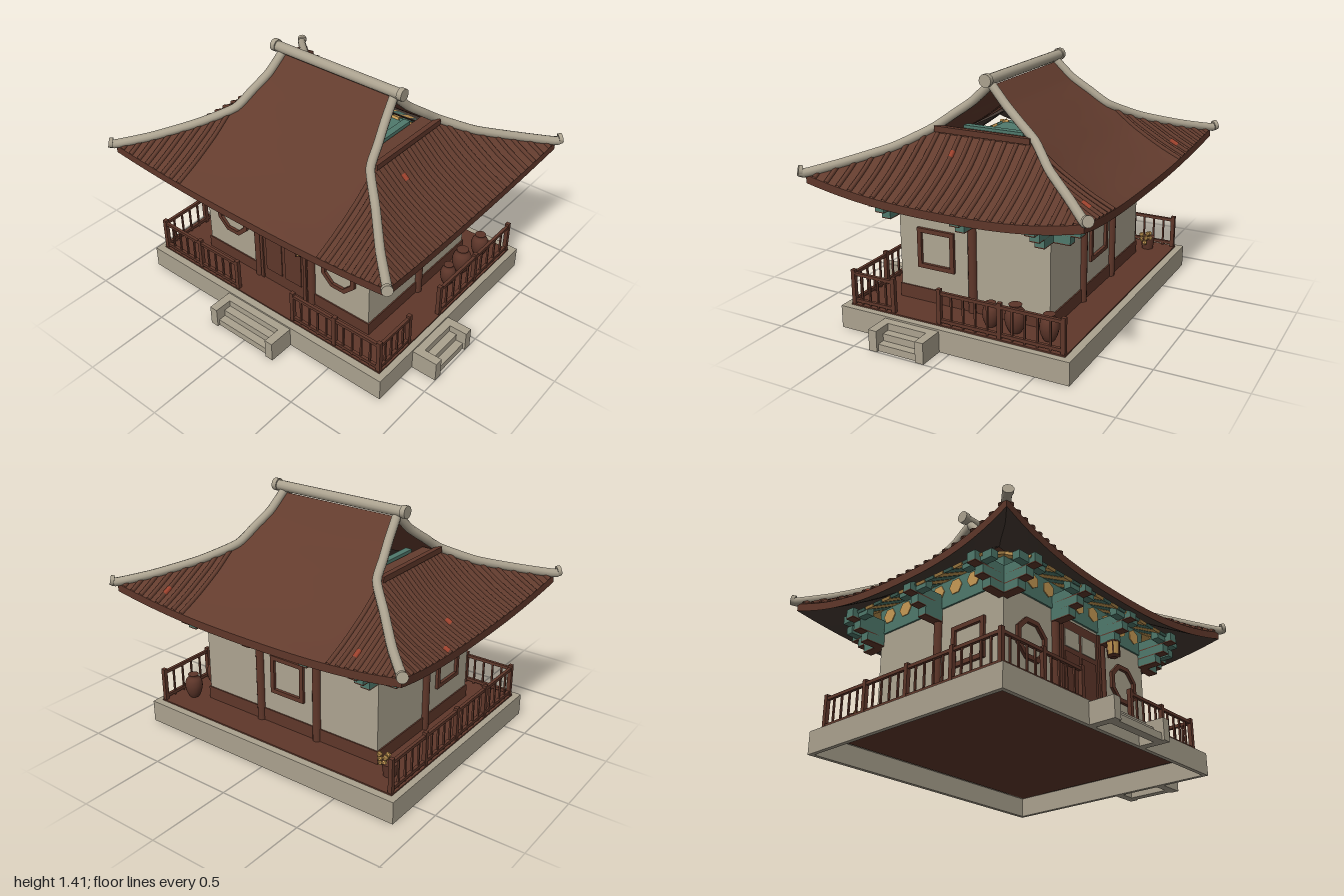
import * as THREE from 'three';
import { ParametricGeometry } from 'three/addons/geometries/ParametricGeometry.js';

const mat = (name, color, side = THREE.FrontSide) => {
  const m = new THREE.MeshStandardMaterial({ color, side });
  m.name = name;
  return m;
};

export function createModel() {
  const root = new THREE.Group();
  root.name = 'pavilion';
  const body = new THREE.Group();
  body.name = 'building';
  body.position.x = -0.01;
  root.add(body);

  const stone = mat('stone', 0xaba28f);
  const plaster = mat('plaster', 0xaea591);
  const wood = mat('redBrownWood', 0x5f372a, THREE.DoubleSide);
  const tile = mat('roofTile', 0x633c2e, THREE.DoubleSide);
  const soffitBoard = mat('soffitBoard', 0x463a33, THREE.DoubleSide);
  const teal = mat('teal', 0x4f796c);
  const gold = mat('gold', 0xc89b55);
  const red = mat('newTile', 0xa0432e);
  const clay = mat('clay', 0x5c3529);

  const add = (name, geo, m, x = 0, y = 0, z = 0, parent = body) => {
    const mesh = new THREE.Mesh(geo, m);
    mesh.name = name;
    mesh.position.set(x, y, z);
    parent.add(mesh);
    return mesh;
  };
  // box given by its centre in x and z and its bottom and top in y
  const box = (name, m, x, z, y0, y1, w, d, parent) =>
    add(name, new THREE.BoxGeometry(w, y1 - y0, d), m, x, (y0 + y1) / 2, z, parent);
  const group = (name, x = 0, y = 0, z = 0, ry = 0) => {
    const g = new THREE.Group();
    g.name = name;
    g.position.set(x, y, z);
    g.rotation.y = ry;
    body.add(g);
    return g;
  };

  // hollow stone platform, deck and steps
  for (const s of [-1, 1]) {
    box('platformWall', stone, 0, s * 0.68, 0, 0.13, 1.715, 0.025);
    box('platformWall', stone, s * 0.845, 0, 0, 0.13, 0.025, 1.335);
    box('platformEdge', stone, 0, s * 0.66, 0.115, 0.13, 1.69, 0.03);
    box('platformEdge', stone, s * 0.825, 0, 0.115, 0.13, 0.03, 1.335);
  }
  box('deck', wood, 0, 0, 0.112, 0.138, 1.64, 1.3);
  const steps = (name, x, z, ry, width) => {
    const g = group(name, x, 0, z, ry);
    for (const s of [-1, 1]) box('stepCheek', stone, s * (width / 2 - 0.025), 0.077, 0, 0.12, 0.05, 0.155, g);
    for (let i = 0; i < 3; i++)
      box('step', stone, 0, 0.115 - 0.046 * i, 0.04 * i, 0.04 * (i + 1), width - 0.1, 0.05, g);
  };
  steps('frontSteps', 0, 0.69, 0, 0.47);
  steps('sideSteps', 0.855, 0.23, Math.PI / 2, 0.34);

  // walls and columns; the corners are plain plaster
  box('walls', plaster, 0, 0, 0.13, 0.74, 1.2, 0.92);
  box('baseboard', wood, 0, 0, 0.13, 0.215, 1.215, 0.935);
  const columns = [[-0.602, 0], [0.602, 0]];
  for (const sz of [-1, 1]) for (const sx of [-1, 1]) columns.push([sx * 0.2, sz * 0.462]);
  for (const [x, z] of columns)
    add('column', new THREE.CylinderGeometry(0.025, 0.025, 0.57, 12), wood, x, 0.42, z);

  // teal beam ring with gold painted panels
  box('beamRing', teal, 0, 0, 0.712, 0.87, 1.22, 0.94);
  const panel = new THREE.CylinderGeometry(0.046, 0.046, 0.008, 6);
  for (const s of [-1, 1]) {
    for (let i = -4; i <= 4; i++) add('paintedPanel', panel, gold, i * 0.13, 0.81, s * 0.471).rotation.x = Math.PI / 2;
    for (let i = -3; i <= 3; i++) add('paintedPanel', panel, gold, s * 0.611, 0.81, i * 0.13).rotation.z = Math.PI / 2;
  }

  // stepped eave brackets, pointing along local +z
  const bracket = (x, z, ry) => {
    const g = group('eaveBracket', x, 0, z, ry);
    for (let i = 0; i < 3; i++) {
      const y = 0.642 + 0.05 * i, reach = 0.12 + 0.056 * i;
      box('bracketArm', teal, 0, reach / 2, y, y + 0.05, 0.055, reach, g);
      box('bracketTrim', wood, 0, reach / 2, y - 0.006, y, 0.055, reach, g);
    }
    box('crossArm', teal, 0, 0.17, 0.744, 0.79, 0.2, 0.045, g);
  };
  // painted rafter sloping down from the wall head, along local +z
  const rafter = (m, x, z, ry) =>
    add('rafter', new THREE.BoxGeometry(0.06, 0.016, 0.23), m, 0, 0.825, 0.1, group('rafterMount', x, 0, z, ry)).rotation.x = 0.47;
  for (const s of [-1, 1]) {
    const ry = s > 0 ? 0 : Math.PI;
    for (const x of [-0.6, -0.2, 0.2, 0.6]) bracket(x, s * 0.46, ry);
    for (const z of [-0.46, 0, 0.46]) bracket(s * 0.605, z, s * Math.PI / 2);
    for (let i = -9; i <= 9; i++) rafter(i % 2 ? gold : teal, i * 0.067, s * 0.465, ry);
    for (let i = -7; i <= 7; i++) rafter(i % 2 ? gold : teal, s * 0.605, i * 0.067, s * Math.PI / 2);
  }

  // door
  box('door', wood, 0, 0.462, 0.14, 0.69, 0.36, 0.02);
  for (const s of [-1, 1]) {
    box('doorPane', plaster, s * 0.072, 0.474, 0.53, 0.632, 0.12, 0.006);
    box('doorStile', wood, s * 0.163, 0.472, 0.14, 0.69, 0.02, 0.02);
    box('doorPanel', wood, s * 0.072, 0.474, 0.22, 0.5, 0.12, 0.006);
  }

  // window frames: regular ring with n sides, facing local +z
  const windowFrame = (name, n, outer, inner, x, y, z, ry) => {
    const ring = r => Array.from({ length: n }, (_, i) => {
      const a = ((i + 0.5) / n) * Math.PI * 2;
      return new THREE.Vector2(Math.cos(a) * r, Math.sin(a) * r);
    });
    const shape = new THREE.Shape(ring(outer));
    shape.holes.push(new THREE.Path(ring(inner)));
    add(name, new THREE.ExtrudeGeometry(shape, { depth: 0.022, bevelEnabled: false }), wood, x, y, z).rotation.y = ry;
  };
  for (const s of [-1, 1]) {
    windowFrame('octagonWindow', 8, 0.124, 0.096, s * 0.395, 0.465, 0.455, 0);
    windowFrame('squareWindow', 4, 0.163, 0.127, s * 0.595, 0.455, 0.225, s * Math.PI / 2);
  }
  windowFrame('squareWindow', 4, 0.163, 0.127, 0, 0.455, -0.455, Math.PI);

  // railings, with the back left open
  const railing = (x0, z0, x1, z1) => {
    const len = Math.hypot(x1 - x0, z1 - z0);
    const g = group('railing', x0, 0, z0, -Math.atan2(z1 - z0, x1 - x0));
    const bays = Math.max(1, Math.round(len / 0.3)), bars = bays * 5;
    for (const y of [0.15, 0.305]) box('rail', wood, len / 2, 0, y, y + 0.018, len, 0.018, g);
    for (let i = 0; i <= bars; i++) {
      const post = i % 5 === 0, w = post ? 0.024 : 0.01;
      box(post ? 'railPost' : 'baluster', wood, (i / bars) * len, 0, 0.135, post ? 0.338 : 0.31, w, w, g);
    }
  };
  railing(-0.805, 0.635, -0.21, 0.635);
  railing(0.21, 0.635, 0.805, 0.635);
  railing(-0.805, 0.635, -0.805, -0.635);
  railing(0.805, 0.635, 0.805, 0.375);
  railing(0.805, 0.085, 0.805, -0.635);

  // jars on the side deck
  const jarSide = new THREE.SplineCurve([[0.55, 0], [0.85, 0.22], [1, 0.5], [0.88, 0.75], [0.55, 0.9], [0.62, 1]]
    .map(p => new THREE.Vector2(...p))).getPoints(16);
  const jarProfile = [new THREE.Vector2(0, 0), ...jarSide, new THREE.Vector2(0, 1)];
  for (const [z, r, h] of [[-0.165, 0.046, 0.135], [-0.31, 0.058, 0.155], [-0.505, 0.052, 0.145]])
    add('jar', new THREE.LatheGeometry(jarProfile, 18), clay, 0.7, 0.138, z).scale.set(r, h, r);
  // basket with golden flowers
  add('basket', new THREE.CylinderGeometry(0.045, 0.035, 0.075, 10), clay, -0.71, 0.175, -0.505);
  for (let i = 0; i < 7; i++)
    add('flower', new THREE.IcosahedronGeometry(0.017, 0), gold, -0.675 + 0.022 * Math.cos(i * 2), 0.19 + 0.01 * i, -0.505 + 0.03 * Math.sin(i * 2));

  // hanging lantern
  add('lantern', new THREE.CylinderGeometry(0.04, 0.034, 0.075, 6), gold, 0.2, 0.597, 0.55);
  for (const [y, r0, r1] of [[0.552, 0.036, 0.02], [0.639, 0.03, 0.042]])
    add('lanternCap', new THREE.CylinderGeometry(r0, r1, 0.014, 6), wood, 0.2, y, 0.55);
  for (let i = 0; i < 6; i++)
    box('lanternPost', wood, 0.2 + 0.037 * Math.sin(i * Math.PI / 3), 0.55 + 0.037 * Math.cos(i * Math.PI / 3), 0.555, 0.636, 0.005, 0.005);
  box('lanternCord', wood, 0.2, 0.55, 0.64, 0.76, 0.006, 0.006);

  // roof guide curves: hip, middle of the long slope, middle of the short slope
  const curve = (pts, tension = 0.5) =>
    new THREE.CatmullRomCurve3(pts.map(p => new THREE.Vector3(...p)), false, 'catmullrom', tension);
  const hip = curve([[0.385, 1.34, 0], [0.405, 1.24, 0.1], [0.438, 1.165, 0.2], [0.475, 1.085, 0.31],
    [0.625, 1.0, 0.46], [0.8, 0.935, 0.65], [0.95, 0.895, 0.795]], 0.3);
  const longMid = curve([[0, 1.34, 0], [0, 1.24, 0.1], [0, 1.155, 0.2], [0, 1.065, 0.305],
    [0, 0.95, 0.45], [0, 0.86, 0.6], [0, 0.795, 0.745]]);
  const shortMid = curve([[0.475, 1.085, 0], [0.61, 0.96, 0], [0.76, 0.865, 0], [0.9, 0.795, 0]]);
  // point on a slope: u runs -1..1 from hip to hip, t runs down the hip
  const slope = (long, s, u, t, drop = 0) => {
    const e = hip.getPoint(t), m = long ? longMid.getPoint(t) : shortMid.getPoint(Math.max(0, t * 2 - 1));
    const p = m.lerp(e, Math.abs(u) ** 2.5);
    p.y -= drop;
    if (long) { p.x = u * e.x; p.z *= s; } else { p.z = u * e.z; p.x *= s; }
    return p;
  };
  const sheet = (name, m, nu, nv, f) =>
    add(name, new ParametricGeometry((u, v, out) => out.copy(f(u * 2 - 1, v)), nu, nv), m);
  const rib = (long, s, pos, t0, t1, m, r) => {
    const pts = [];
    for (let i = 0; i <= 10; i++) {
      const t = t0 + (t1 - t0) * (i / 10), e = hip.getPoint(t);
      pts.push(slope(long, s, THREE.MathUtils.clamp(pos / (long ? e.x : e.z), -1, 1), t));
    }
    add('tileRib', new THREE.TubeGeometry(new THREE.CatmullRomCurve3(pts), 12, r, 6), m);
  };
  const startOf = (long, pos) => {
    let t = 0.5;
    while (t < 1 && hip.getPoint(t)[long ? 'x' : 'z'] < Math.abs(pos)) t += 0.01;
    return t;
  };
  for (const s of [-1, 1]) {
    for (const long of [true, false]) {
      const top = long ? 0 : 0.5;
      sheet('roofSlope', tile, 32, 24, (u, v) => slope(long, s, u, top + (1 - top) * v));
      sheet('soffit', soffitBoard, 32, 12, (u, v) => slope(long, s, u, 0.5 + 0.5 * v, 0.045));
      sheet('eaveFascia', wood, 32, 1, (u, v) => slope(long, s, u, 1, v * 0.045));
      const first = long ? 0.5 : 0, gap = long ? 0.058 : 0.068;
      for (let p = first; p < (long ? 0.93 : 0.78); p += gap)
        for (const side of p ? [-1, 1] : [1]) {
          const t0 = startOf(long, p);
          if (t0 < 0.98) rib(long, s, side * p, t0, 1, tile, 0.014);
        }
    }
    // gable opening: sill, ledge behind it and tie beam
    box('gableSill', wood, s * 0.485, 0, 1.085, 1.117, 0.03, 0.57);
    box('gableLedge', tile, s * 0.43, 0, 1.075, 1.09, 0.11, 0.57);
    box('gableTieBeam', teal, s * 0.35, 0, 1.06, 1.105, 0.04, 0.36);
    // hip and verge caps with disc ends
    for (const sx of [-1, 1]) {
      const pts = hip.points.map(p => [p.x * sx, p.y + 0.012, p.z * s]);
      pts.push([0.972 * sx, 0.914, 0.822 * s]);
      add('hipCap', new THREE.TubeGeometry(curve(pts, 0.3), 48, 0.025, 10), stone);
      const end = add('hipEnd', new THREE.CylinderGeometry(0.029, 0.029, 0.022, 12), stone, 0.966 * sx, 0.919, 0.818 * s);
      end.quaternion.setFromUnitVectors(new THREE.Vector3(0, 1, 0), new THREE.Vector3(sx, 0.3, s).normalize());
    }
    add('ridgeEnd', new THREE.CylinderGeometry(0.036, 0.036, 0.03, 12), stone, s * 0.435, 1.377, 0).rotation.z = Math.PI / 2;
  }
  add('ridge', new THREE.CylinderGeometry(0.03, 0.03, 0.86, 12), stone, 0, 1.375, 0).rotation.z = Math.PI / 2;

  // a few replaced tiles
  for (const [s, z, t] of [[1, 0.136, 0.6], [-1, -0.272, 0.95], [-1, -0.068, 0.82]])
    rib(false, s, z, t, t + 0.035, red, 0.016);
  for (const x of [0.674, -0.616]) rib(true, -1, x, 0.87, 0.92, red, 0.016);

  return root;
}
